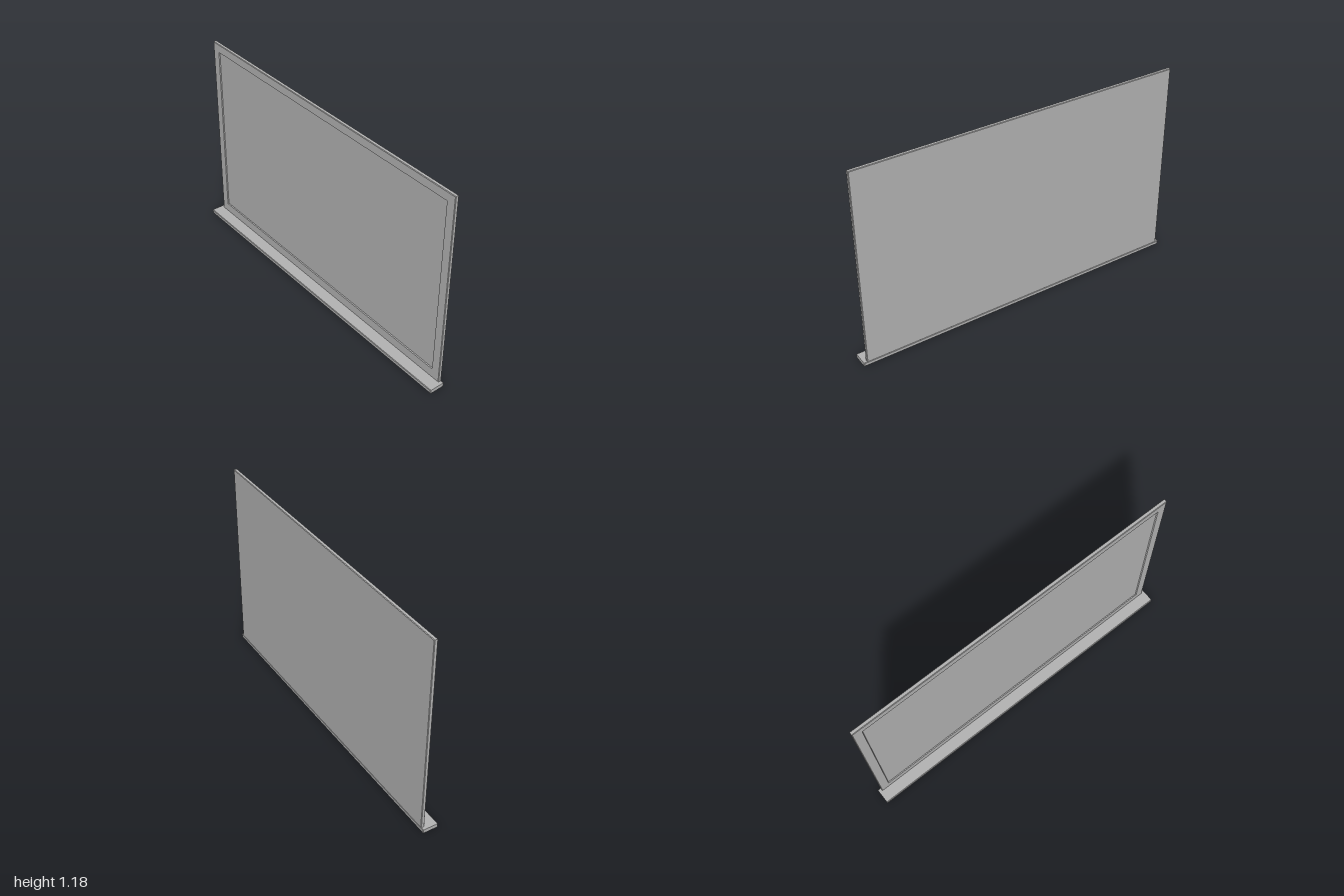
import * as THREE from 'three';

// Skins a row of rectangles [left, right, bottom, top, z], back to front, and caps both ends.
function loftRects(rects) {
  const rings = rects.map(([l, r, b, t, z]) => [[l, b, z], [r, b, z], [r, t, z], [l, t, z]]);
  const pos = [];
  const quad = (a, b, c, d) => pos.push(...a, ...b, ...c, ...a, ...c, ...d);
  const first = rings[0], last = rings[rings.length - 1];
  quad(first[3], first[2], first[1], first[0]);
  for (let i = 0; i < rings.length - 1; i++) {
    for (let j = 0; j < 4; j++) {
      const k = (j + 1) % 4;
      quad(rings[i][j], rings[i][k], rings[i + 1][k], rings[i + 1][j]);
    }
  }
  quad(...last);
  const geo = new THREE.BufferGeometry();
  geo.setAttribute('position', new THREE.Float32BufferAttribute(pos, 3));
  geo.computeVertexNormals();
  return geo;
}

// Rectangle shrunk on all sides by d, placed at depth z.
const inset = ([l, r, b, t], d, z) => [l + d, r - d, b + d, t - d, z];

export function createModel() {
  const group = new THREE.Group();
  const grey = new THREE.MeshStandardMaterial({ color: 0xb3b3b3 });
  grey.name = 'grey';

  const add = (name, rects) => {
    const mesh = new THREE.Mesh(loftRects(rects), grey);
    mesh.name = name;
    group.add(mesh);
  };

  // upright board: bevelled outer edge, raised border, shallow sunken writing surface
  const outer = [-0.981, 0.981, 0.022, 1.18];
  const opening = [-0.93, 0.93, 0.078, 1.13];
  const back = -0.046, front = -0.025, bevel = 0.003;
  add('board', [
    inset(outer, bevel, back),
    inset(outer, 0, back + bevel),
    inset(outer, 0, front - bevel),
    inset(outer, bevel, front),
    inset(opening, 0, front),
    inset(opening, 0.004, front - 0.005),
  ]);

  // ledge along the bottom, reaching forward of the board
  const ledge = [-1, 1, 0, 0.023];
  add('ledge', [
    inset(ledge, bevel, -0.046),
    inset(ledge, 0, -0.046 + bevel),
    inset(ledge, 0, 0.046 - bevel),
    inset(ledge, bevel, 0.046),
  ]);

  return group;
}
